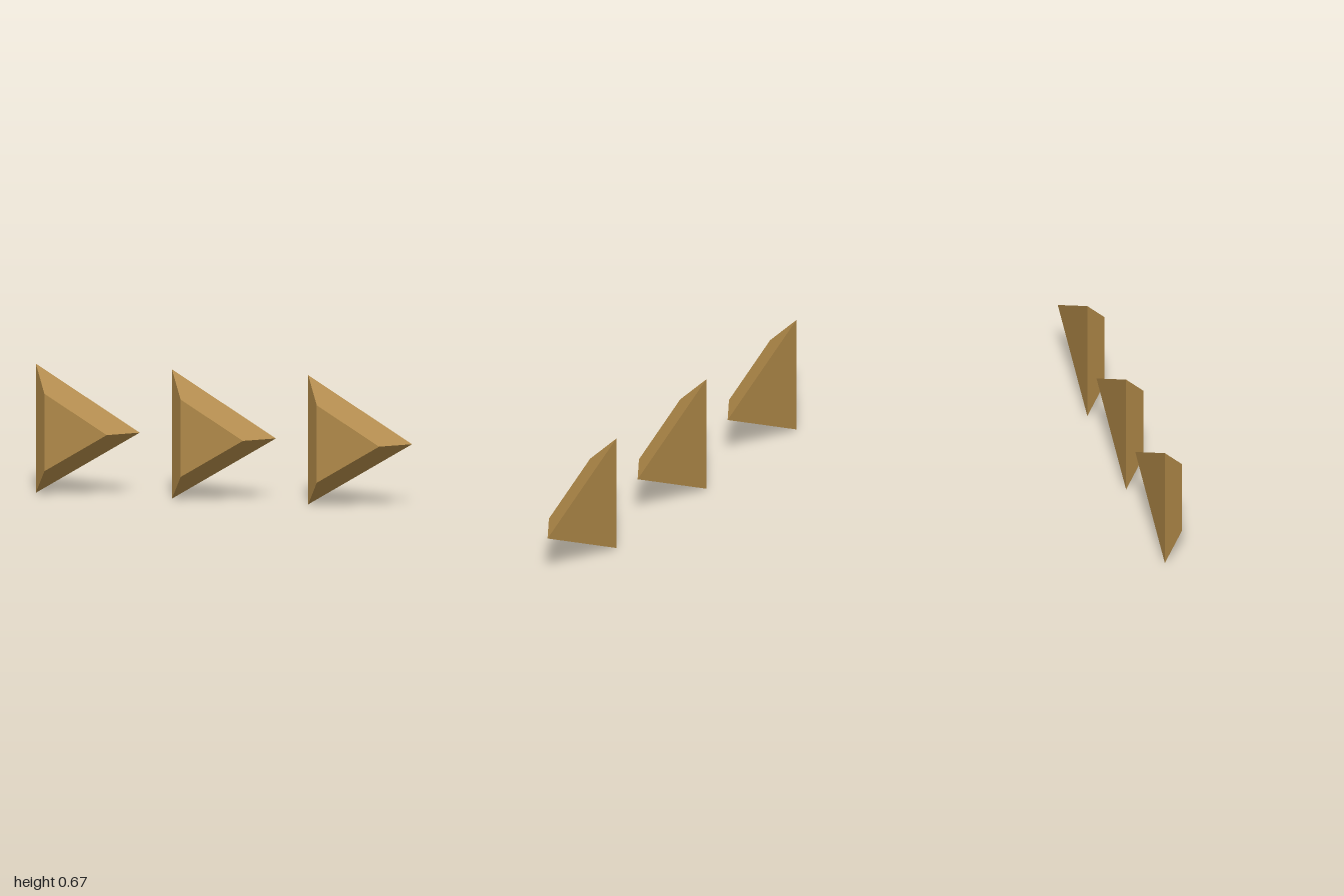
import * as THREE from 'three';

export function createModel() {
  const group = new THREE.Group();
  group.name = 'arrowRow';

  const bronze = new THREE.MeshStandardMaterial({ color: 0xb08948, flatShading: true });
  bronze.name = 'bronze';

  // Three-sided frustum: wide base at the back, smaller face in front, tip towards +x
  const geometry = new THREE.CylinderGeometry(0.6, 1, 0.114, 3, 1, false, Math.PI / 2);
  geometry.rotateX(Math.PI / 2);
  geometry.scale(0.367, 0.389, 1);

  // Three identical arrows in an even row
  ['rightArrow', 'middleArrow', 'leftArrow'].forEach((name, i) => {
    const arrow = new THREE.Mesh(geometry, bronze);
    arrow.name = name;
    arrow.position.set(-0.816 + i * 0.721, 0.34, 0);
    group.add(arrow);
  });

  return group;
}
